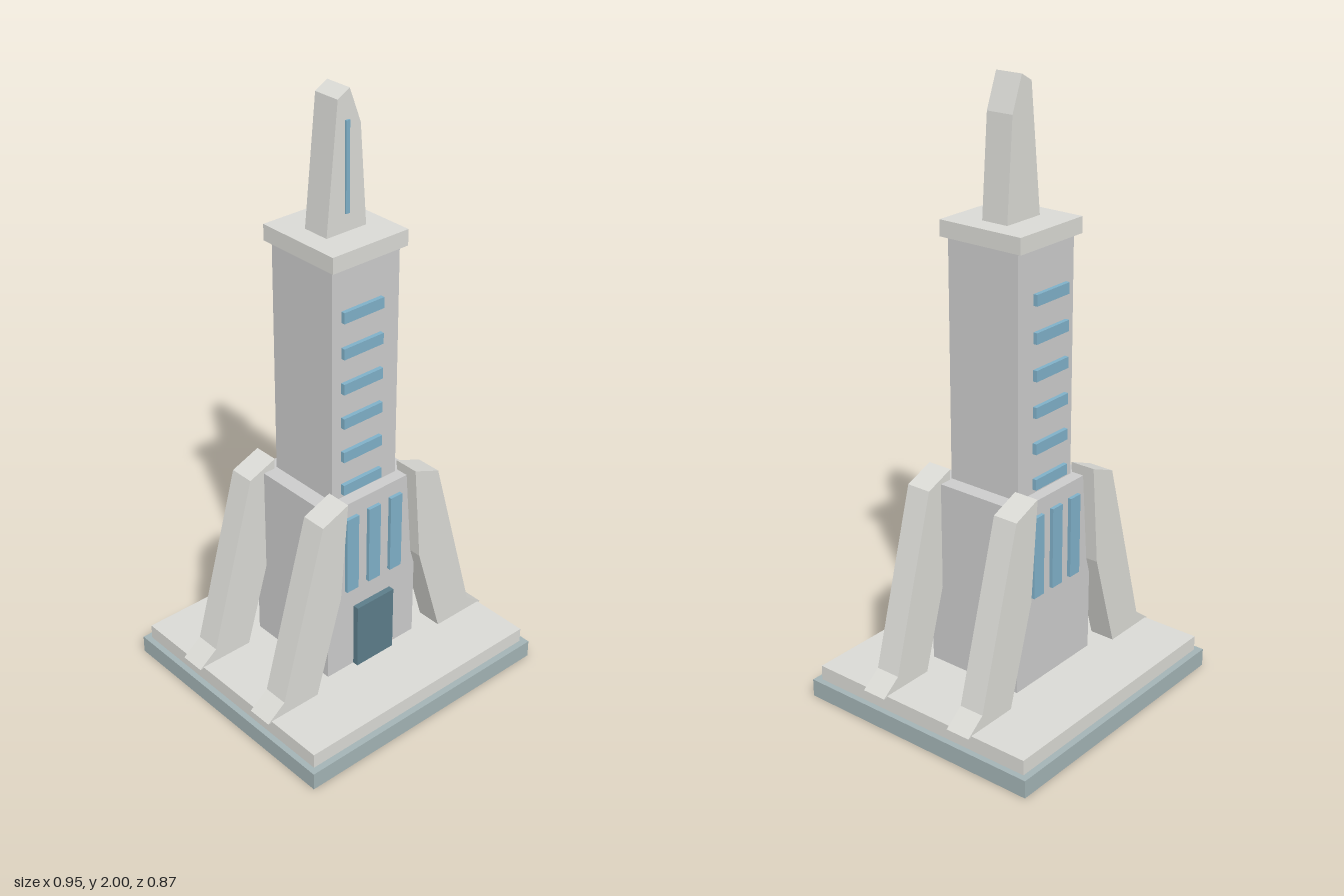
import * as THREE from 'three';

const mat = (color) => new THREE.MeshStandardMaterial({ color, flatShading: true });

export function createModel() {
  const group = new THREE.Group();
  const stone = mat(0xdadad5);
  const paleStone = mat(0xd0d4d3);
  const plinthBlue = mat(0xa3b3b5);
  const glass = mat(0x7fb0c8);
  const doorBlue = mat(0x5c7d8a);

  const add = (name, geometry, material) => {
    const mesh = new THREE.Mesh(geometry, material);
    mesh.name = name;
    group.add(mesh);
    return mesh;
  };

  // Box given by its extents on each axis
  const block = (name, material, [x0, x1], [y0, y1], [z0, z1]) =>
    add(name, new THREE.BoxGeometry(x1 - x0, y1 - y0, z1 - z0), material)
      .position.set((x0 + x1) / 2, (y0 + y1) / 2, (z0 + z1) / 2);

  // Outline in x and y, extruded from z0 to z1
  const slab = (name, material, points, z0, z1) => {
    const shape = new THREE.Shape(points.map(([x, y]) => new THREE.Vector2(x, y)));
    const geometry = new THREE.ExtrudeGeometry(shape, { depth: z1 - z0, bevelEnabled: false });
    add(name, geometry, material).position.z = z0;
  };

  // Stepped plinth
  block('plinth', plinthBlue, [-0.475, 0.475], [0, 0.06], [-0.437, 0.437]);
  block('terrace', stone, [-0.455, 0.455], [0.06, 0.11], [-0.415, 0.415]);

  // Tower
  block('lowerTower', paleStone, [-0.185, 0.185], [0.11, 0.74], [-0.173, 0.173]);
  block('shaft', paleStone, [-0.131, 0.131], [0.74, 1.52], [-0.132, 0.132]);
  block('cap', stone, [-0.145, 0.145], [1.52, 1.572], [-0.152, 0.152]);

  // Lopsided spire with a light strip
  slab('spire', stone,
    [[-0.076, 1.572], [0.076, 1.572], [0.052, 1.89], [0.01, 2], [-0.034, 1.975]], -0.047, 0.047);
  block('spireStrip', glass, [-0.007, 0.007], [1.63, 1.91], [0.04, 0.053]);

  // Four leaning buttresses
  const profile = [[0.268, 0.105], [0.468, 0.105], [0.402, 0.155], [0.24, 0.735], [0.14, 0.775], [0.168, 0.44]];
  for (const side of [1, -1]) {
    const points = profile.map(([x, y]) => [x * side, y]);
    slab('buttressFront', stone, points, 0.129, 0.215);
    slab('buttressBack', stone, points, -0.215, -0.129);
  }

  // Windows on the front and back
  for (const face of [1, -1]) {
    const depth = (a, b) => (face > 0 ? [a, b] : [-b, -a]);
    for (let i = 0; i < 6; i++) {
      const y = 0.772 + i * 0.118;
      block('shaftWindow', glass, [-0.095, 0.06], [y - 0.018, y + 0.018], depth(0.12, 0.146));
    }
    for (const x of [-0.091, 0, 0.091]) {
      block('tallWindow', glass, [x - 0.024, x + 0.024], [0.417, 0.69], depth(0.16, 0.185));
    }
  }

  // Entrance
  block('door', doorBlue, [-0.077, 0.077], [0.11, 0.34], [0.16, 0.193]);

  return group;
}
